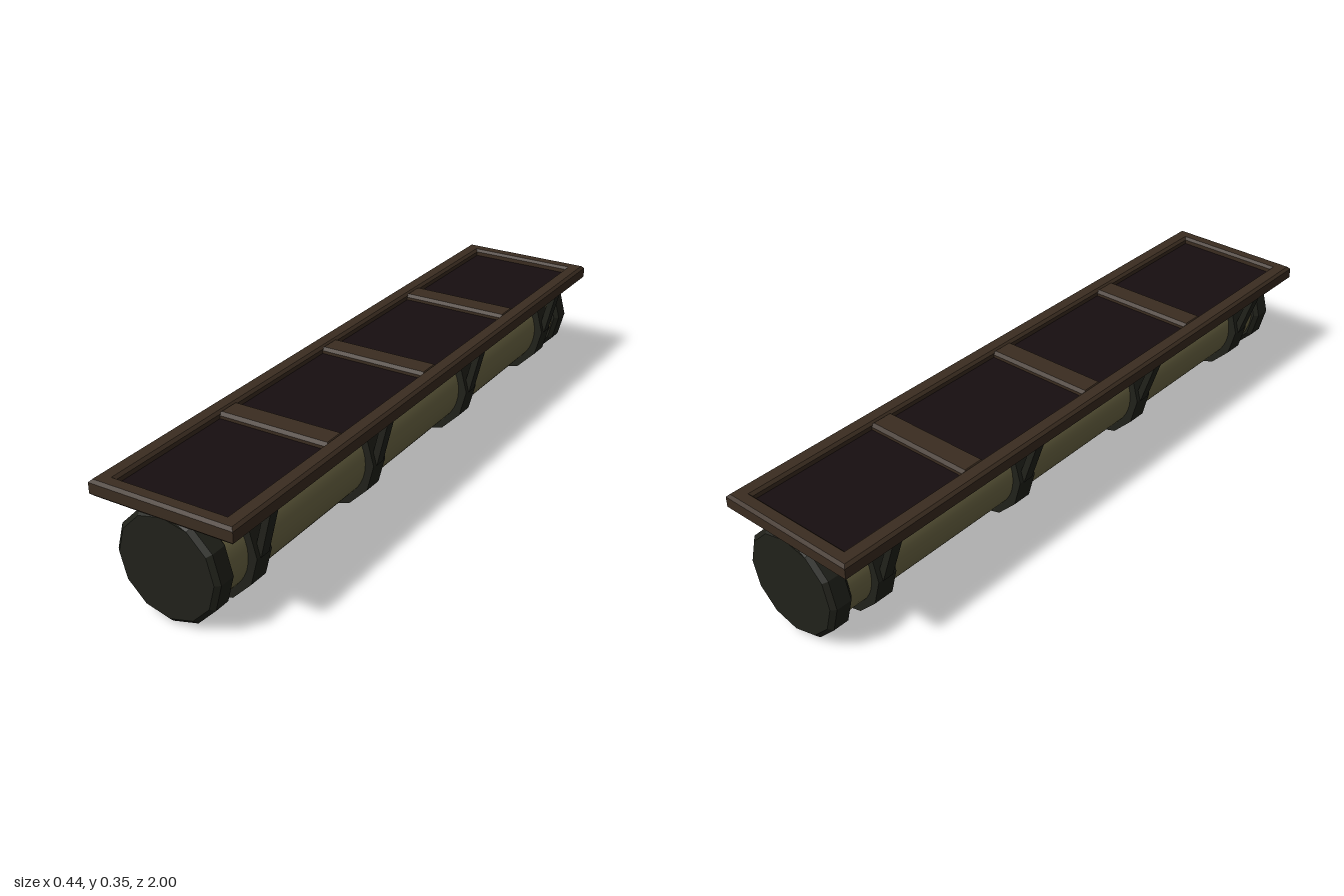
import * as THREE from 'three';

const mat = (color, flatShading = true) => new THREE.MeshStandardMaterial({ color, flatShading });
const wood = mat(0x3a2c20), board = mat(0x170e10), iron = mat(0x20211a), canvas = mat(0x6f6946, false);
const CX = 0.005, CY = 0.167, TOP = 0.311;

export function createModel() {
  const group = new THREE.Group();
  const add = (name, geometry, material) => {
    const mesh = new THREE.Mesh(geometry, material);
    mesh.name = name;
    group.add(mesh);
    return mesh;
  };
  const rect = (C, w, d) => new C().moveTo(-w, -d).lineTo(w, -d).lineTo(w, d).lineTo(-w, d).closePath();

  // chamfered slab lying flat, with its top at the given height
  const slab = (shape, height, top, b) => {
    const g = new THREE.ExtrudeGeometry(shape, {
      depth: height - 2 * b, bevelEnabled: true, bevelSize: b, bevelThickness: b, bevelSegments: 1,
    });
    return g.rotateX(-Math.PI / 2).translate(0, top - height + b, 0);
  };

  // turned twelve-sided drum along z, flattened where it meets the tray
  const drum = (profile) => {
    const g = new THREE.LatheGeometry(profile.map(([r, z]) => new THREE.Vector2(r, z)), 12);
    g.rotateX(Math.PI / 2).translate(CX, CY, 0);
    const p = g.attributes.position;
    for (let i = 0; i < p.count; i++) p.setY(i, Math.min(p.getY(i), TOP));
    g.computeVertexNormals();
    return g;
  };

  // tray: rim, dividers and recessed floor
  const rim = rect(THREE.Shape, 0.212, 0.992);
  rim.holes.push(rect(THREE.Path, 0.178, 0.962));
  add('trayRim', slab(rim, 0.047, 0.35, 0.008), wood);
  for (const z of [-0.5, 0, 0.5]) {
    add('trayDivider', slab(rect(THREE.Shape, 0.17, 0.031), 0.04, 0.347, 0.009), wood).position.z = z;
  }
  add('trayFloor', new THREE.BoxGeometry(0.36, 0.01, 1.93).translate(0, 0.324, 0), board);
  add('trayUnderside', new THREE.BoxGeometry(0.36, 0.013, 1.93).translate(0, 0.312, 0), wood);

  // rolled body
  add('roll', new THREE.CylinderGeometry(0.138, 0.138, 1.96, 40).rotateX(Math.PI / 2).translate(CX, CY, 0), canvas);

  // end caps
  const capProfile = [[0, -0.036], [0.147, -0.036], [0.16, -0.024], [0.16, 0.024], [0.147, 0.036], [0, 0.036]];
  for (const z of [-0.961, 0.961]) add('endCap', drum(capProfile), iron).position.z = z;

  // straps with a pair of hanging struts each
  const bandProfile = [[0.13, -0.031], [0.165, -0.031], [0.165, 0.031], [0.13, 0.031]];
  const struts = [
    [[-0.21, 0.308], [-0.162, 0.165], [-0.143, 0.175], [-0.19, 0.308]],
    [[0.187, 0.308], [0.153, 0.175], [0.172, 0.165], [0.208, 0.308]],
  ];
  for (const z of [-0.817, -0.272, 0.273, 0.818]) {
    add('strap', drum(bandProfile), iron).position.z = z;
    for (const pts of struts) {
      const shape = new THREE.Shape(pts.map(([x, y]) => new THREE.Vector2(x, y)));
      const g = new THREE.ExtrudeGeometry(shape, { depth: 0.034, bevelEnabled: false });
      add('strut', g.translate(0, 0, -0.017), iron).position.z = z;
    }
  }
  return group;
}
